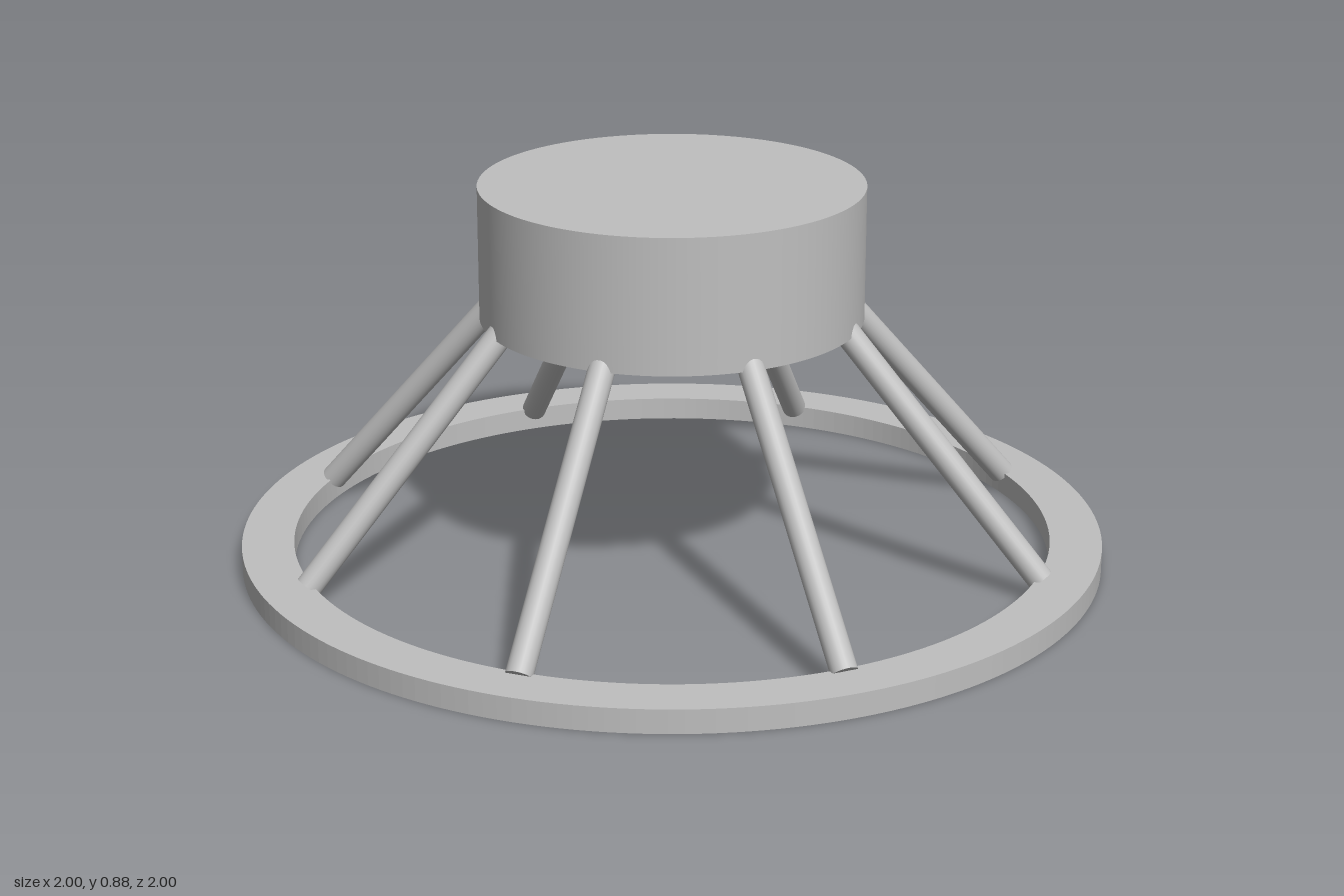
import * as THREE from 'three';

export function createModel() {
  const model = new THREE.Group();
  const grey = new THREE.MeshStandardMaterial({ color: 0xbfbfbf });
  grey.name = 'light grey';

  const add = (name, geometry) => {
    const mesh = new THREE.Mesh(geometry, grey);
    mesh.name = name;
    model.add(mesh);
    return mesh;
  };

  // Flat base ring, extruded upward from the ground
  const ringShape = new THREE.Shape().absarc(0, 0, 1, 0, Math.PI * 2, false);
  ringShape.holes.push(new THREE.Path().absarc(0, 0, 0.88, 0, Math.PI * 2, true));
  const ring = new THREE.ExtrudeGeometry(ringShape, { depth: 0.055, bevelEnabled: false, curveSegments: 96 });
  ring.rotateX(-Math.PI / 2);
  add('baseRing', ring);

  // Solid drum on top
  const drum = new THREE.CylinderGeometry(0.44, 0.44, 0.31, 96);
  drum.translate(0, 0.73, 0);
  add('drum', drum);

  // Eight slanted rods joining the ring to the drum
  const up = new THREE.Vector3(0, 1, 0);
  for (let i = 0; i < 8; i++) {
    const angle = (i + 0.5) * Math.PI / 4;
    const at = (r, y) => new THREE.Vector3(r * Math.cos(angle), y, r * Math.sin(angle));
    const foot = at(0.887, 0.05);
    const head = at(0.417, 0.583);
    const axis = head.clone().sub(foot);
    const rod = add('rod' + (i + 1), new THREE.CylinderGeometry(0.03, 0.03, axis.length(), 24));
    rod.position.copy(foot).add(head).multiplyScalar(0.5);
    rod.quaternion.setFromUnitVectors(up, axis.normalize());
  }

  return model;
}
